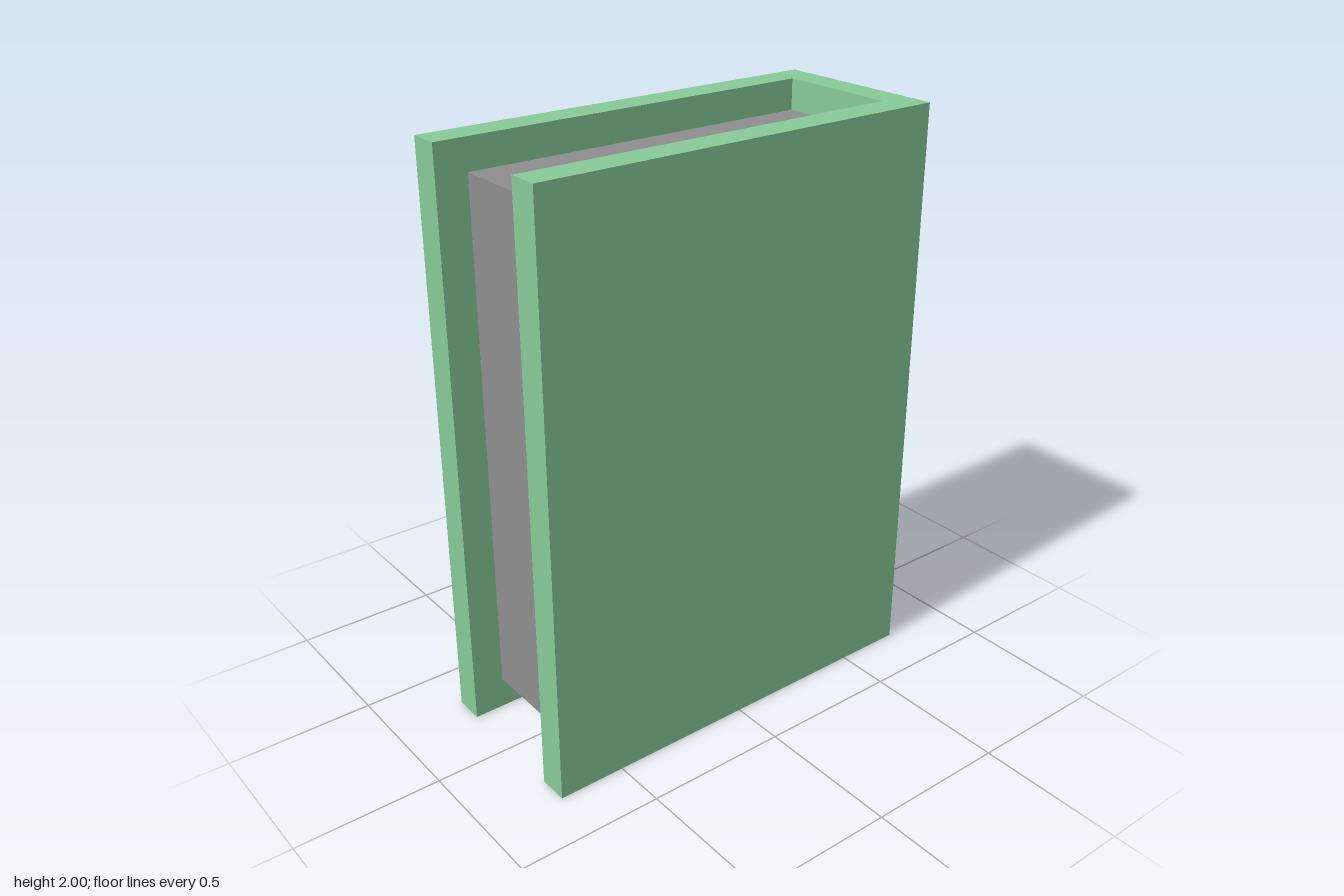
import * as THREE from 'three';

const WIDTH = 0.63, DEPTH = 1.47, HEIGHT = 2, BOARD = 0.104;

export function createModel() {
  const book = new THREE.Group();
  book.name = 'book';

  const coverGreen = new THREE.MeshStandardMaterial({ color: 0x88ca98 });
  coverGreen.name = 'cover green';
  const pageGrey = new THREE.MeshStandardMaterial({ color: 0x8e8e8e });
  pageGrey.name = 'page grey';

  // Cover: U-shaped outline (two boards and the spine) extruded upward
  const x = WIDTH / 2, z = DEPTH / 2, inner = x - BOARD;
  const outline = new THREE.Shape([
    [-x, -z], [-inner, -z], [-inner, z - BOARD], [inner, z - BOARD],
    [inner, -z], [x, -z], [x, z], [-x, z],
  ].map(([px, py]) => new THREE.Vector2(px, py)));
  const coverGeometry = new THREE.ExtrudeGeometry(outline, { depth: HEIGHT, bevelEnabled: false });
  coverGeometry.rotateX(-Math.PI / 2);
  const cover = new THREE.Mesh(coverGeometry, coverGreen);
  cover.name = 'cover';
  book.add(cover);

  // Page block: fills the cover between the boards, inset at top, bottom and fore edge
  const back = -z + BOARD, front = 0.627, bottom = 0.11, top = 1.895;
  const pages = new THREE.Mesh(
    new THREE.BoxGeometry(inner * 2, top - bottom, front - back), pageGrey);
  pages.position.set(0, (top + bottom) / 2, (front + back) / 2);
  pages.name = 'pages';
  book.add(pages);

  return book;
}
